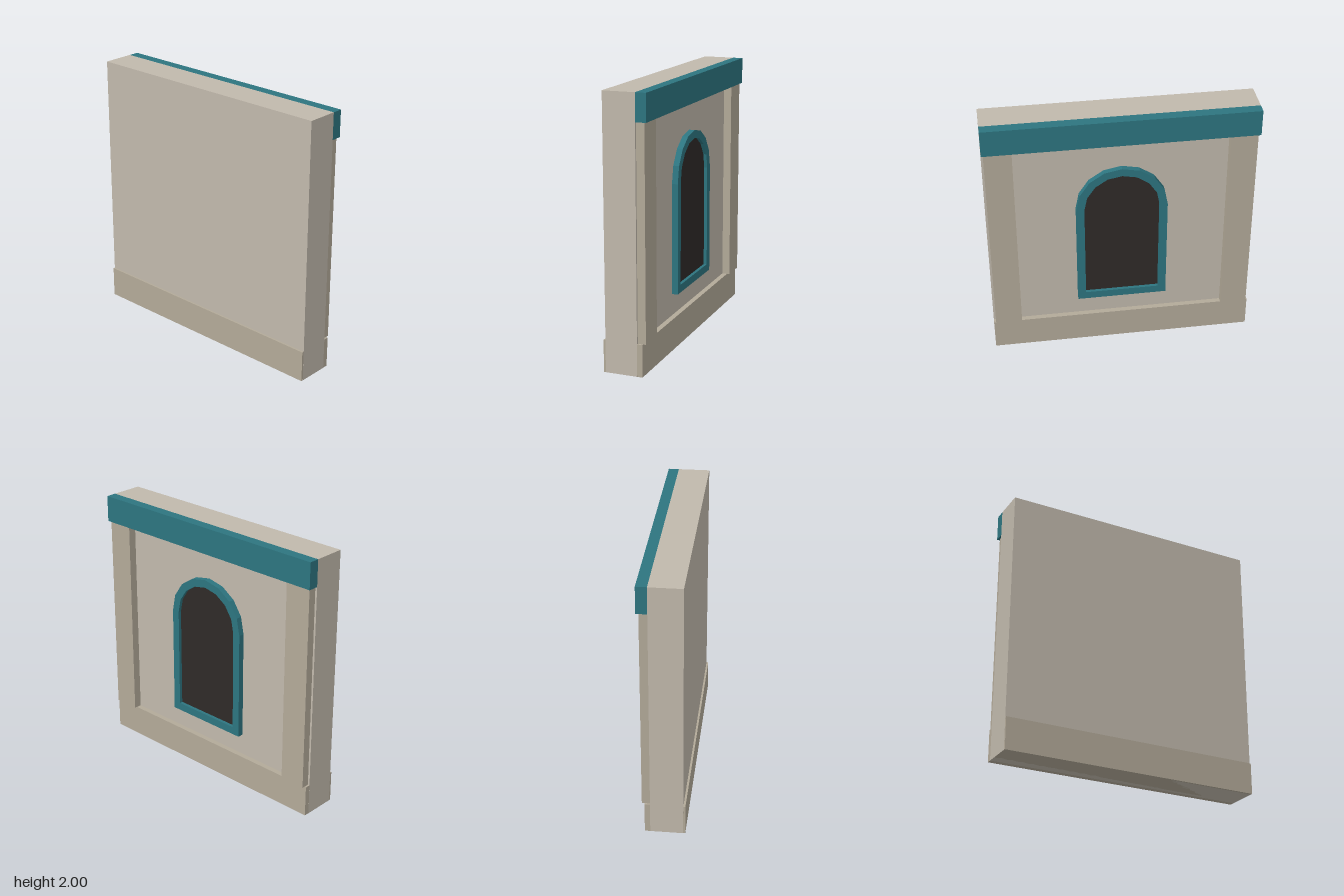
import * as THREE from 'three';

const material = (color) => new THREE.MeshStandardMaterial({ color, flatShading: true });

// Outline of an arched opening: straight sides, faceted round head
function archPoints(halfWidth, bottom, spring, segments = 8) {
  const points = [new THREE.Vector2(-halfWidth, bottom), new THREE.Vector2(halfWidth, bottom)];
  for (let i = 0; i <= segments; i++) {
    const a = (i / segments) * Math.PI;
    points.push(new THREE.Vector2(Math.cos(a) * halfWidth, spring + Math.sin(a) * halfWidth));
  }
  return points;
}

export function createModel() {
  const group = new THREE.Group();
  const plaster = material(0xc1b9ac);
  const stone = material(0xb3aa99);
  const teal = material(0x2d7580);
  const dark = material(0x2f2a28);
  const face = 0.087; // x of the wall's outer face

  function add(name, geometry, mat) {
    const mesh = new THREE.Mesh(geometry, mat);
    mesh.name = name;
    group.add(mesh);
  }

  // Box given by its limits along each axis
  function addBox(name, [x0, x1], [y0, y1], [z0, z1], mat) {
    const geometry = new THREE.BoxGeometry(x1 - x0, y1 - y0, z1 - z0);
    geometry.translate((x0 + x1) / 2, (y0 + y1) / 2, (z0 + z1) / 2);
    add(name, geometry, mat);
  }

  // Outline extruded outwards from the wall face
  function addRelief(name, shape, depth, mat) {
    const geometry = new THREE.ExtrudeGeometry(shape, { depth, bevelEnabled: false });
    geometry.rotateY(Math.PI / 2).translate(face, 0, 0);
    add(name, geometry, mat);
  }

  // Wall slab, plinth and top band
  addBox('wall', [-0.153, face], [0, 2], [-1, 1], plaster);
  addBox('plinth', [-0.168, 0.127], [0, 0.24], [-0.9995, 0.9995], stone);
  addBox('topBand', [face, 0.166], [1.8, 2], [-1, 1], teal);

  // Pilasters at both ends
  for (const side of [-1, 1]) {
    const z = side * 0.885;
    addBox(side > 0 ? 'frontPilaster' : 'backPilaster', [face, 0.148], [0.24, 1.8], [z - 0.1, z + 0.1], stone);
  }

  // Arched window: raised frame with a recessed dark pane
  const frame = new THREE.Shape(archPoints(0.34, 0.405, 1.24));
  frame.holes.push(new THREE.Path(archPoints(0.28, 0.465, 1.24)));
  addRelief('windowFrame', frame, 0.045, teal);
  addRelief('windowPane', new THREE.Shape(archPoints(0.28, 0.465, 1.24)), 0.02, dark);

  return group;
}
